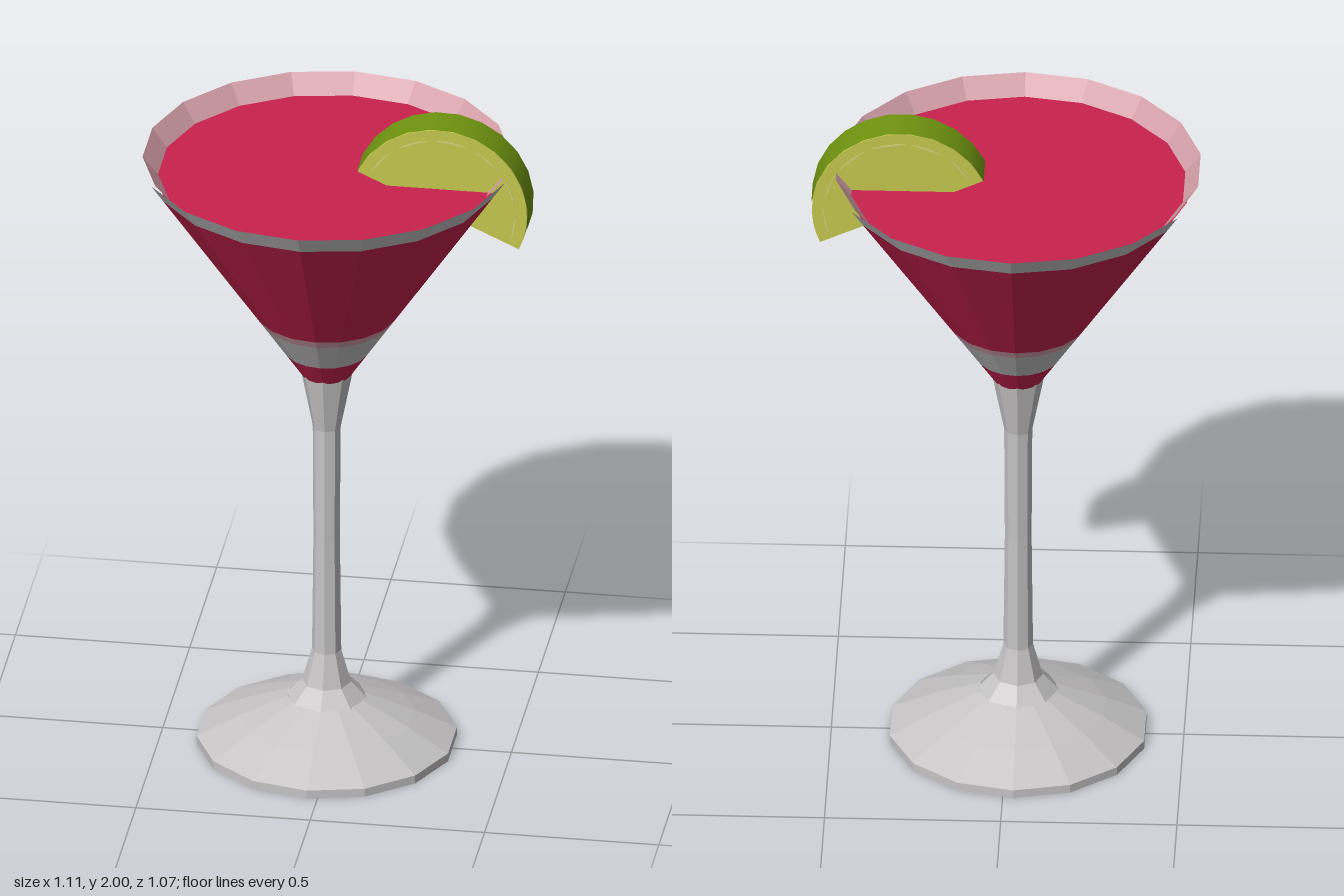
import * as THREE from 'three';

const paint = (name, color) => {
  const m = new THREE.MeshStandardMaterial({ color });
  m.name = name;
  return m;
};

export function createModel() {
  const glass = paint('clear glass', 0xc6c4c5);
  const tint = paint('tinted glass', 0xd49fa8);
  const drink = paint('red drink', 0xc8224d);
  const rindGreen = paint('lime rind', 0x6f9410);
  const pith = paint('lime pith', 0xc6c94e);
  const pulp = paint('lime pulp', 0xd3d07c);

  const model = new THREE.Group();
  model.name = 'cocktail';
  const glassware = new THREE.Group();
  glassware.name = 'cocktailGlass';
  glassware.position.x = -0.03;
  model.add(glassware);

  const add = (parent, name, geometry, material) => {
    const mesh = new THREE.Mesh(geometry, material);
    mesh.name = name;
    parent.add(mesh);
    return mesh;
  };

  // Faceted surface of revolution from [radius, height] pairs
  const turn = (name, profile, sides, material) => {
    const g = new THREE.LatheGeometry(profile.map(p => new THREE.Vector2(...p)), sides).toNonIndexed();
    g.computeVertexNormals();
    return add(glassware, name, g, material);
  };

  // Foot, stem and the flare under the bowl
  turn('foot', [[0, 0], [0.37, 0], [0.37, 0.025], [0.25, 0.085], [0.11, 0.145]], 14, glass);
  turn('stem', [[0.115, 0.143], [0.07, 0.19], [0.042, 0.29], [0.038, 0.65], [0.04, 1.0], [0.075, 1.18]], 8, glass);

  // Conical bowl in stacked colour bands
  const bowlRadius = y => 0.07 + (y - 1.17) * 0.667;
  const bands = [
    ['drinkTip', 1.17, 1.245, drink],
    ['clearBand', 1.245, 1.345, glass],
    ['tintedBand', 1.345, 1.37, tint],
    ['drinkSide', 1.37, 1.81, drink],
    ['rimOutside', 1.81, 1.865, glass],
  ];
  for (const [name, y0, y1, material] of bands) {
    turn(name, [[bowlRadius(y0), y0], [bowlRadius(y1), y1]], 18, material);
  }
  turn('rimInside', [[0.522, 1.865], [0.478, 1.81]], 18, tint);
  turn('drinkSurface', [[0.49, 1.81], [0, 1.81]], 18, drink);

  // Half slice of lime hooked over the rim
  const lime = new THREE.Group();
  lime.name = 'limeSlice';
  lime.position.set(0.299, 1.742, 0);
  lime.rotation.z = -0.43;
  model.add(lime);
  const R = 0.257, half = 0.055;

  const halfDisc = new THREE.Shape().absarc(0, 0, R - 0.003, 0, Math.PI, false);
  halfDisc.closePath();
  const body = new THREE.ExtrudeGeometry(halfDisc, { depth: half * 2, bevelEnabled: false, curveSegments: 12 });
  add(lime, 'limeBody', body.translate(0, 0, -half), pith);

  const rind = new THREE.CylinderGeometry(R, R, half * 2, 12, 1, true, Math.PI / 2, Math.PI);
  add(lime, 'limeRind', rind.rotateX(Math.PI / 2), rindGreen);

  // Pulp segments on both cut faces
  const count = 6, step = Math.PI / count;
  for (let i = 0; i < count; i++) {
    const a0 = i * step + 0.05, a1 = (i + 1) * step - 0.05, mid = (a0 + a1) / 2;
    const wedge = new THREE.Shape();
    wedge.moveTo(0.04 * Math.cos(mid), 0.04 * Math.sin(mid));
    wedge.absarc(0, 0, 0.222, a0, a1, false);
    wedge.closePath();
    for (const side of [-1, 1]) {
      const plate = new THREE.ExtrudeGeometry(wedge, { depth: 0.004, bevelEnabled: false, curveSegments: 3 });
      add(lime, 'limeSegment', plate.translate(0, 0, side * half - 0.002), pulp);
    }
  }
  return model;
}
